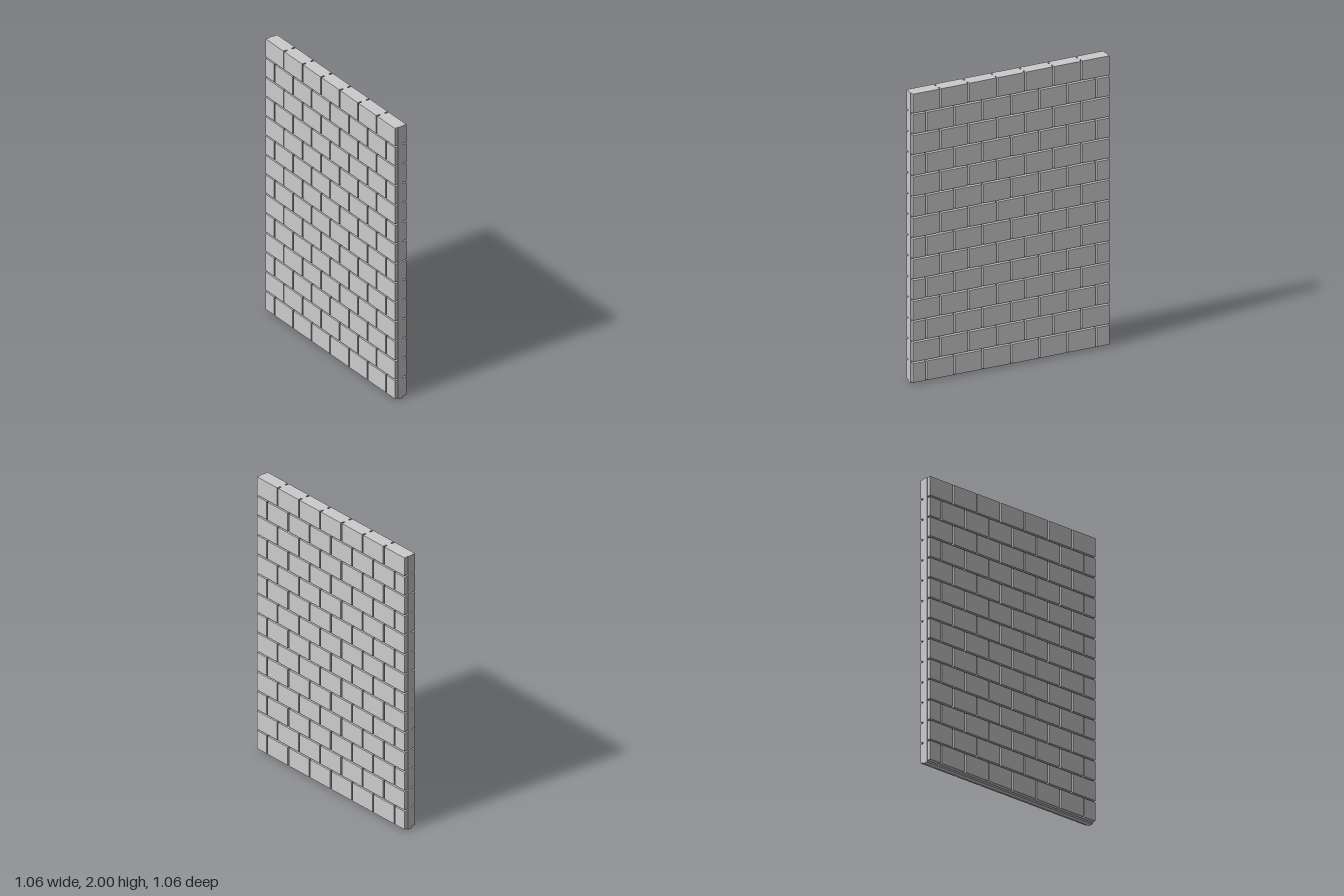
import * as THREE from 'three';

const HEIGHT = 2, ROWS = 14, COLUMNS = 7;
const HALF_LENGTH = 0.704;      // brick faces along the wall
const HALF_DEPTH = 0.0453;      // outer brick faces
const CORE_HALF_DEPTH = 0.0184; // mortar slab between the brick layers
const CORE_OVERHANG = 0.003;
const GAP = 0.0107;

export function createModel() {
  const model = new THREE.Group();
  model.name = 'brickWall';
  const material = new THREE.MeshStandardMaterial({ color: 0xcccccc, flatShading: true });

  function addBox(parent, name, size, position) {
    const mesh = new THREE.Mesh(new THREE.BoxGeometry(...size), material);
    mesh.name = name;
    mesh.position.set(...position);
    parent.add(mesh);
  }

  // Mortar slab, slightly longer than the brick courses
  addBox(model, 'mortarCore',
    [2 * (HALF_LENGTH + CORE_OVERHANG), HEIGHT, 2 * CORE_HALF_DEPTH], [0, HEIGHT / 2, 0]);

  // Running-bond bricks on both faces, with half bricks closing the staggered rows
  const rowPitch = HEIGHT / ROWS;
  const brickPitch = (2 * HALF_LENGTH + GAP) / COLUMNS;
  const depth = HALF_DEPTH - CORE_HALF_DEPTH;
  for (const side of [1, -1]) {
    const layer = new THREE.Group();
    layer.name = side > 0 ? 'frontBricks' : 'backBricks';
    layer.position.z = side * (CORE_HALF_DEPTH + depth / 2);
    model.add(layer);
    for (let row = 0; row < ROWS; row++) {
      const staggered = row % 2 === 0;
      const count = staggered ? COLUMNS + 1 : COLUMNS;
      const first = -HALF_LENGTH - (staggered ? brickPitch / 2 : 0);
      for (let i = 0; i < count; i++) {
        const start = first + i * brickPitch;
        const x0 = Math.max(start, -HALF_LENGTH);
        const x1 = Math.min(start + brickPitch - GAP, HALF_LENGTH);
        addBox(layer, 'brick', [x1 - x0, rowPitch - GAP, depth],
          [(x0 + x1) / 2, row * rowPitch + (rowPitch + GAP) / 2, 0]);
      }
    }
  }

  // The wall stands diagonally, from back right to front left
  model.rotation.y = -Math.PI / 4;
  return model;
}
